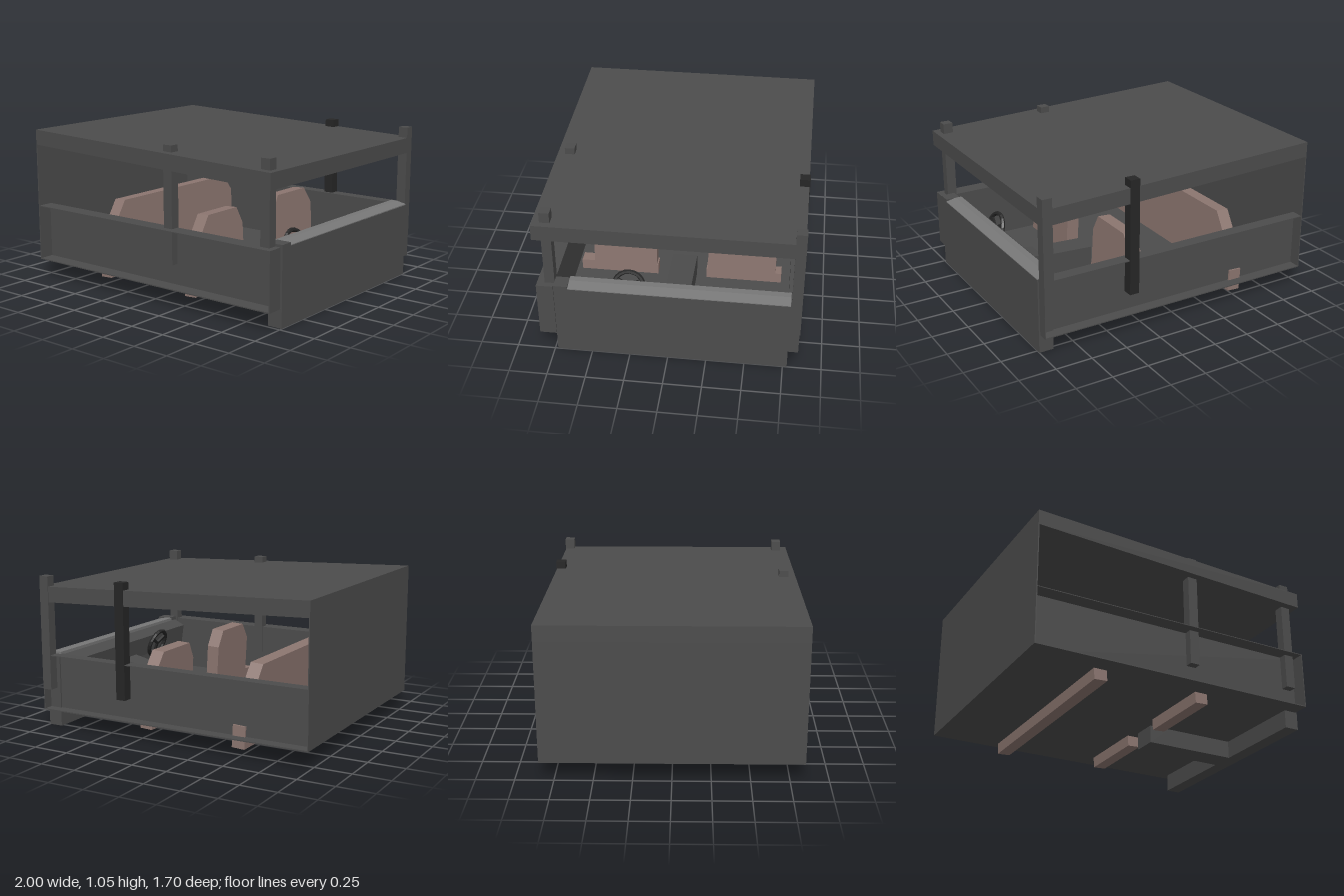
import * as THREE from 'three';

const mat = (color) => new THREE.MeshStandardMaterial({ color, side: THREE.DoubleSide, flatShading: true });
const body = mat(0x4c4c4c), black = mat(0x262626), trim = mat(0x777777), fabric = mat(0x8c7670);

export function createModel() {
  const model = new THREE.Group();
  model.name = 'openCabin';

  const add = (name, geometry, material) => {
    const mesh = new THREE.Mesh(geometry, material);
    mesh.name = name;
    model.add(mesh);
    return mesh;
  };
  // box given by its limits on each axis
  const box = (name, [x0, x1], [y0, y1], [z0, z1], material = body) => {
    const mesh = add(name, new THREE.BoxGeometry(x1 - x0, y1 - y0, z1 - z0), material);
    mesh.position.set((x0 + x1) / 2, (y0 + y1) / 2, (z0 + z1) / 2);
    return mesh;
  };
  // profile in x and y, extruded across z
  const prism = (name, points, [z0, z1], material = body) => {
    const shape = new THREE.Shape(points.map(([x, y]) => new THREE.Vector2(x, y)));
    const geometry = new THREE.ExtrudeGeometry(shape, { depth: z1 - z0, bevelEnabled: false });
    add(name, geometry.translate(0, 0, z0), material);
  };

  // sloping roof, floor and rear wall
  prism('roof', [[-1, 0.942], [0.99, 0.872], [0.99, 0.978], [-1, 1.046]], [-0.845, 0.845]);
  box('floor', [-1, 0.99], [0.123, 0.13], [-0.845, 0.845]);
  box('rearWall', [-1, -0.993], [0.125, 0.95], [-0.845, 0.845]);

  // hollow side channels, open to the outside
  for (const s of [-1, 1]) {
    const range = s > 0 ? [0.74, 0.845] : [-0.845, -0.765];
    const inner = s > 0 ? [0.735, 0.742] : [-0.767, -0.76];
    box('sidePanel', [-1, 0.99], [0.125, 0.51], inner);
    box('sideLedge', [-1, 0.99], [0.505, 0.51], range);
    box('sideEndCap', [0.984, 0.99], [0.125, 0.51], range);
  }

  // roof posts
  box('centrePost', [0.12, 0.187], [0.27, 1.05], [0.73, 0.795]);
  box('frontPost', [0.883, 0.95], [0.27, 1.05], [0.73, 0.795]);
  box('centrePost', [0.318, 0.385], [0.27, 1.05], [-0.85, -0.783], black);
  box('frontPost', [0.923, 0.99], [0.27, 1.05], [-0.85, -0.783]);

  // nose with a pale sloping cowl strip
  box('nose', [0.9, 1], [0, 0.505], [-0.778, 0.73]);
  prism('cowl', [[0.885, 0.505], [1, 0.503], [1, 0.51], [0.93, 0.525], [0.885, 0.525]], [-0.778, 0.64], trim);
  box('cowlEnd', [0.9, 1], [0.503, 0.525], [0.64, 0.73]);
  prism('dashboard', [[0.9, 0.3], [0.9, 0.5], [0.82, 0.46], [0.84, 0.32]], [-0.74, 0.72]);

  // centre tunnel, reaching below the floor
  prism('tunnel', [[0.25, 0], [0.9, 0], [0.9, 0.36], [0.62, 0.3], [0.25, 0.28]], [-0.11, 0.06]);

  // steering wheel
  const wheel = new THREE.Group();
  wheel.name = 'steeringWheel';
  wheel.position.set(0.79, 0.4, 0.28);
  wheel.rotation.set(0, Math.PI / 2, 0.35, 'ZYX');
  wheel.add(new THREE.Mesh(new THREE.TorusGeometry(0.1, 0.015, 6, 20), black));
  for (let i = 0; i < 3; i++) {
    const spoke = new THREE.Mesh(new THREE.BoxGeometry(0.02, 0.1, 0.015).translate(0, -0.05, 0), black);
    spoke.rotation.z = (i * Math.PI * 2) / 3;
    wheel.add(spoke);
  }
  model.add(wheel);

  // reclined seat backs with chamfered shoulders, profile in z and y
  const seatBack = (name, x, thickness, tilt, z0, z1, base0, base1, c0, c1) => {
    const shape = new THREE.Shape([
      [base0, 0], [base1, 0], [base1, 0.15], [z1, 0.15], [z1, 0.4],
      [z1 - c1, 0.515], [z0 + c0, 0.515], [z0, 0.4], [z0, 0.15], [base0, 0.15],
    ].map(([z, y]) => new THREE.Vector2(z, y)));
    const geometry = new THREE.ExtrudeGeometry(shape, { depth: thickness, bevelEnabled: false });
    geometry.rotateY(-Math.PI / 2).translate(thickness / 2, 0, 0);
    const seat = add(name, geometry, fabric);
    seat.position.set(x, 0.05, 0);
    seat.rotation.z = tilt;
  };
  seatBack('rearBench', -0.487, 0.09, 0.055, -0.66, 0.61, -0.78, 0.71, 0.08, 0.08);
  seatBack('frontSeat', 0.255, 0.09, 0.055, 0.17, 0.61, 0.16, 0.7, 0.06, 0.08);
  seatBack('frontSeat', 0.255, 0.09, 0.055, -0.66, -0.19, -0.7, -0.18, 0.08, 0.06);

  return model;
}
